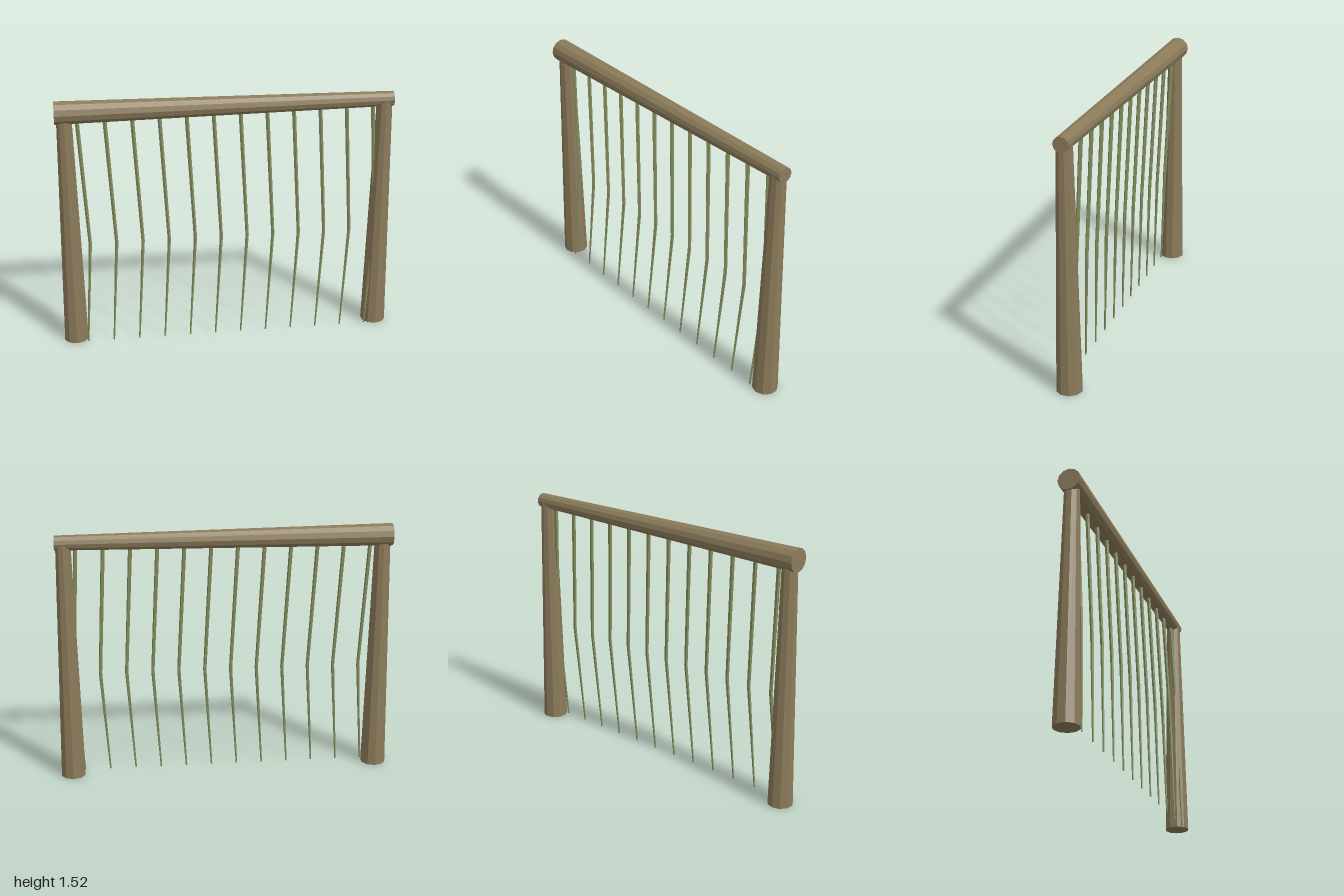
import * as THREE from 'three';

const wood = new THREE.MeshStandardMaterial({ color: 0x8b7b5a });
wood.name = 'weathered wood';
const green = new THREE.MeshStandardMaterial({ color: 0x848d5e });
green.name = 'vine green';
wood.flatShading = green.flatShading = true;

const UP = new THREE.Vector3(0, 1, 0);

// Tapered round bar running from point a to point b
function bar(name, a, b, rA, rB, sides, material) {
  const from = new THREE.Vector3(...a), dir = new THREE.Vector3(...b).sub(from);
  const mesh = new THREE.Mesh(new THREE.CylinderGeometry(rB, rA, dir.length(), sides), material);
  mesh.name = name;
  mesh.position.copy(from).addScaledVector(dir, 0.5);
  mesh.quaternion.setFromUnitVectors(UP, dir.normalize());
  return mesh;
}

export function createModel() {
  const model = new THREE.Group();
  model.name = 'vineFrame';

  // Two tapered posts
  for (const [name, x] of [['rightPost', -0.928], ['leftPost', 0.928]])
    model.add(bar(name, [x, 0, 0], [x, 1.45, 0], 0.075, 0.045, 10, wood));

  // Crossbeam, thicker at the -x end
  model.add(bar('crossbeam', [-0.982, 1.449, 0], [0.978, 1.449, 0], 0.067, 0.044, 12, wood));

  // Row of hanging vines, each bent once near the middle
  for (let i = 0; i < 12; i++) {
    const x = -0.858 + i * 0.156;
    const bend = [x + 0.041, 0.64, 0.025];
    const vine = new THREE.Group();
    vine.name = 'vine' + (i + 1);
    vine.add(
      bar('upperVine', bend, [x, 1.43, 0], 0.0105, 0.0125, 5, green),
      bar('lowerVine', [x, 0, 0.055], bend, 0.005, 0.0105, 5, green),
    );
    model.add(vine);
  }
  return model;
}
